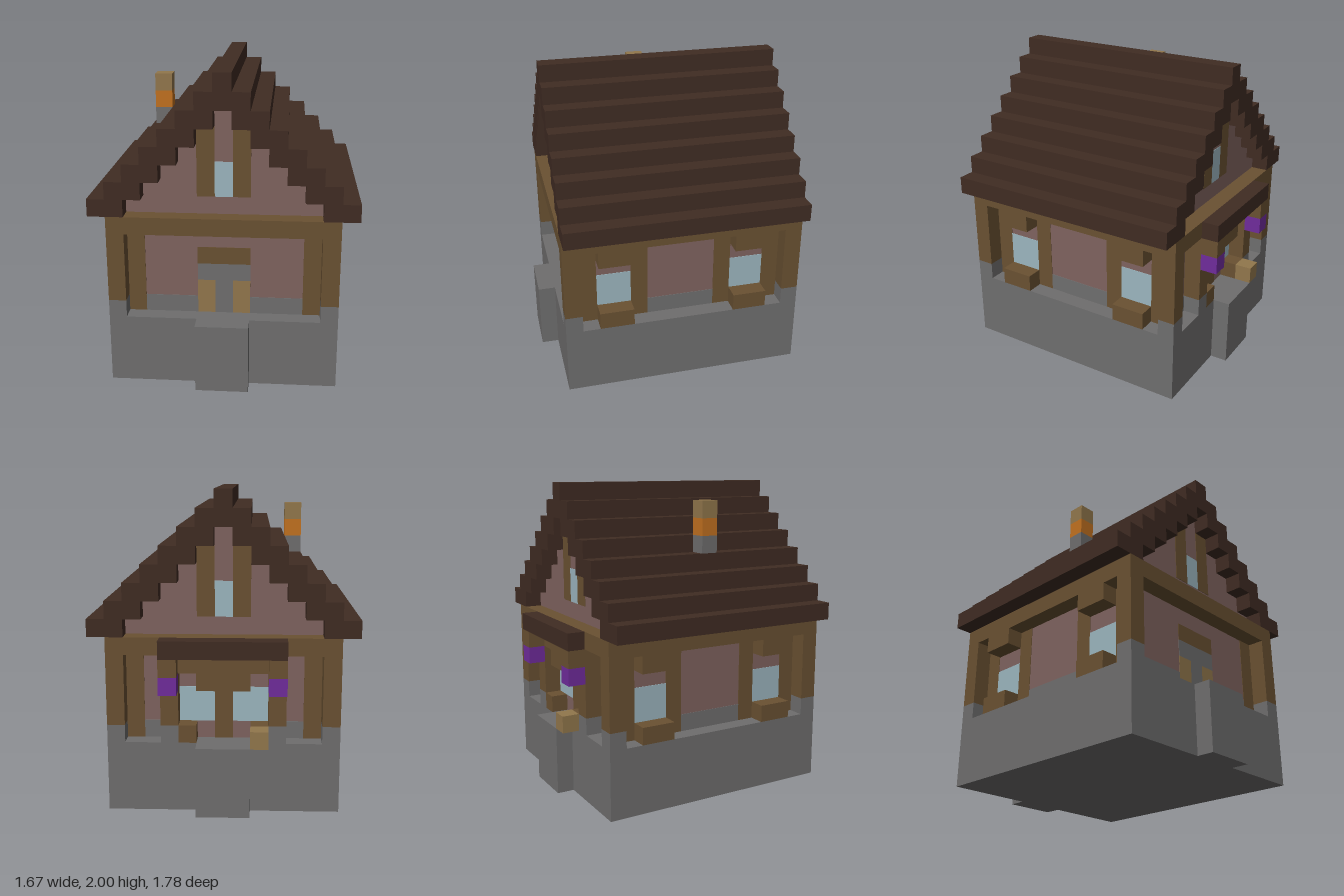
import * as THREE from 'three';

const U = 1 / 9; // one block
const E = 0.03;  // how far flush painted plates stand out, in blocks

export function createModel() {
  const house = new THREE.Group();
  house.name = 'cottage';

  const material = (name, color) => {
    const m = new THREE.MeshStandardMaterial({ color });
    m.name = name;
    return m;
  };
  const stone = material('stone', 0x6f6e6e);
  const timber = material('timber', 0x6a5132);
  const plaster = material('plaster', 0x7f635f);
  const roofing = material('dark roofing', 0x402c23);
  const glass = material('glass', 0x9cb6bf);
  const tan = material('pale wood', 0x92774c);
  const orange = material('orange', 0xc27120);
  const purple = material('purple', 0x702c9c);

  // Box given by its limits in blocks
  const block = (name, mat, x0, x1, y0, y1, z0, z1) => {
    const g = new THREE.BoxGeometry((x1 - x0) * U, (y1 - y0) * U, (z1 - z0) * U);
    const mesh = new THREE.Mesh(g, mat);
    mesh.position.set((x0 + x1) / 2 * U, (y0 + y1) / 2 * U, (z0 + z1) / 2 * U);
    mesh.name = name;
    house.add(mesh);
  };
  // The same box on both sides of the model
  const pair = (name, mat, x0, x1, ...rest) => {
    block(name, mat, x0, x1, ...rest);
    block(name, mat, -x1, -x0, ...rest);
  };
  // Thin plates on the front, back and side walls
  const frontPlate = (name, mat, x0, x1, y0, y1) => block(name, mat, x0, x1, y0, y1, 6 - E, 6 + E);
  const backPlate = (name, mat, x0, x1, y0, y1) => block(name, mat, x0, x1, y0, y1, -6 - E, -6 + E);
  const sidePlates = (name, mat, z0, z1, y0, y1) => pair(name, mat, 5.5 - E, 5.5 + E, y0, y1, z0, z1);

  // Foundation with front and back steps
  block('foundation', stone, -6.5, 6.5, 0, 4, -7, 7);
  block('frontStep', stone, -1.5, 1.5, 0, 4, 7, 8);
  block('backStep', stone, -1.5, 1.5, 0, 4, -8, -7);

  // Recessed walls and the beam ring above
  block('walls', plaster, -5.5, 5.5, 4, 9, -6, 6);
  block('beamRing', timber, -6.5, 6.5, 9, 10, -7, 7);

  // Corner pillars on stone feet, with inner posts flush in the walls
  for (const [z0, z1, p0, p1] of [[6, 7, 5, 6 + E], [-7, -6, -6 - E, -5]]) {
    pair('pillarFoot', stone, 5.5, 6.5, 4, 5, z0, z1);
    pair('cornerPillar', timber, 5.5, 6.5, 5, 9, z0, z1);
    pair('innerPost', timber, 4.5, 5.5 + E, 4, 9, p0, p1);
  }

  // Side walls: two windows each, with projecting sill and header
  sidePlates('stoneCourse', stone, -2, 2, 4, 5);
  for (const s of [1, -1]) {
    const span = (a, b) => (s > 0 ? [a, b] : [-b, -a]);
    const [w0, w1] = span(3, 5);
    const [p0, p1] = span(2, 3);
    sidePlates('windowPost', timber, p0, p1, 4, 9);
    sidePlates('sideWindow', glass, w0, w1, 5, 7);
    pair('windowSill', timber, 5.5, 6.5, 4, 5, w0, w1);
    pair('windowHeader', timber, 5.5, 6.5, 8, 9, w0, w1);
  }

  // Front wall and door
  for (const [x0, x1] of [[-4.5, -1.5], [1.5, 4.5]]) frontPlate('stoneCourse', stone, x0, x1, 4, 5);
  frontPlate('doorStone', stone, -1.5, 1.5, 6, 7);
  frontPlate('door', stone, -0.5, 0.5, 4, 6);
  frontPlate('doorSide', tan, 0.5, 1.5, 4, 6);
  frontPlate('doorSide', tan, -1.5, -0.5, 4, 6);
  frontPlate('doorHeader', timber, -1.5, 1.5, 7, 8);

  // Back wall: windows, posts and canopy with hanging lanterns
  for (const [x0, x1] of [[-4.5, -3.5], [3.5, 4.5]]) backPlate('stoneCourse', stone, x0, x1, 4, 5);
  backPlate('backWindow', glass, 0.5, 2.5, 5, 7);
  backPlate('backWindow', glass, -2.5, -0.5, 5, 7);
  backPlate('backMullion', timber, -0.5, 0.5, 4, 8);
  pair('backPostFoot', stone, 2.5, 3.5, 4, 5, -7, -6);
  pair('backPost', timber, 2.5, 3.5, 5, 9, -7, -6);
  pair('backSill', timber, 1.5, 2.5, 4, 5, -7, -6);
  block('backHeader', timber, -2.5, 2.5, 8, 9, -7, -6);
  block('backLintel', timber, -1.5, 1.5, 7, 8, -7, -6);
  block('canopy', roofing, -3.5, 3.5, 9, 10, -8, -7);
  pair('lanternHanger', timber, 2.5, 3.5, 8, 9, -8, -7);
  pair('lantern', purple, 2.5, 3.5, 7, 8, -8, -7);
  block('crate', tan, -2.5, -1.5, 4, 5, -8, -7);

  // Stepped roof over stepped gable walls
  for (let k = 0; k < 6; k++) {
    pair('roofStep', roofing, 5.5 - k, 7.5 - k, 10 + k, 11 + k, -7, 7);
    block('gable', plaster, k - 5.5, 5.5 - k, 10 + k, 11 + k, -6, 6);
  }
  block('upperRoof', roofing, -1.5, 1.5, 16, 17, -7, 7);
  block('ridge', roofing, -0.5, 0.5, 17, 18, -7, 7);

  // Gable windows
  for (const plate of [frontPlate, backPlate]) {
    plate('gableWindow', glass, -0.5, 0.5, 11, 13);
    plate('gablePost', timber, 0.5, 1.5, 11, 15);
    plate('gablePost', timber, -1.5, -0.5, 11, 15);
  }

  // Chimney
  block('chimney', stone, -4.5, -3.5, 14, 15, 0, 1);
  block('chimneyFire', orange, -4.5, -3.5, 15, 16, 0, 1);
  block('chimneyCap', tan, -4.5, -3.5, 16, 17, 0, 1);

  return house;
}
